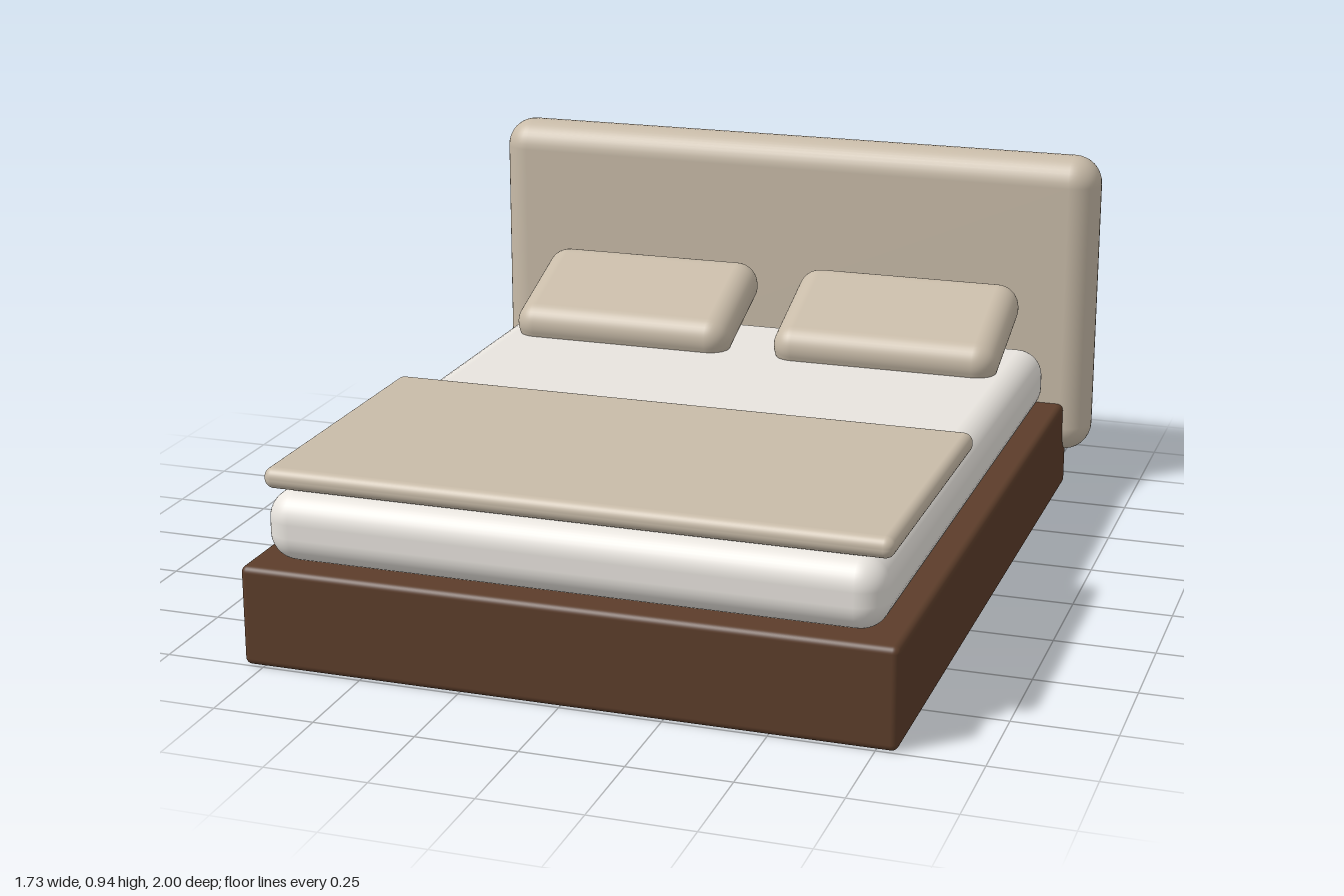
import * as THREE from 'three';
import { RoundedBoxGeometry } from 'three/addons/geometries/RoundedBoxGeometry.js';

const wood = new THREE.MeshStandardMaterial({ color: 0x5c3d2a });
const linen = new THREE.MeshStandardMaterial({ color: 0xe8e4de });
const fabric = new THREE.MeshStandardMaterial({ color: 0xc8bba8 });

// Rounded block given by its size, centre and edge radius
function block(name, material, [w, h, d], [x, y, z], radius) {
  const mesh = new THREE.Mesh(new RoundedBoxGeometry(w, h, d, 5, radius), material);
  mesh.name = name;
  mesh.position.set(x, y, z);
  return mesh;
}

export function createModel() {
  const bed = new THREE.Group();
  bed.name = 'bed';

  // Wooden base and upholstered headboard
  bed.add(block('base', wood, [1.6, 0.25, 1.91], [0, 0.125, 0.045], 0.017));
  bed.add(block('headboard', fabric, [1.734, 0.84, 0.156], [0, 0.52, -0.922], 0.077));

  // Mattress with a folded blanket over the foot end
  bed.add(block('mattress', linen, [1.51, 0.175, 1.78], [0, 0.3375, 0.08], 0.07));
  bed.add(block('blanket', fabric, [1.53, 0.052, 0.8], [0, 0.45, 0.535], 0.024));

  // Mirrored pair of pillows, raised towards the headboard
  for (const side of [-1, 1]) {
    const name = side > 0 ? 'leftPillow' : 'rightPillow';
    const pillow = block(name, fabric, [0.62, 0.127, 0.375], [side * 0.373, 0.497, -0.627], 0.06);
    pillow.rotation.x = 0.35;
    bed.add(pillow);
  }

  return bed;
}
